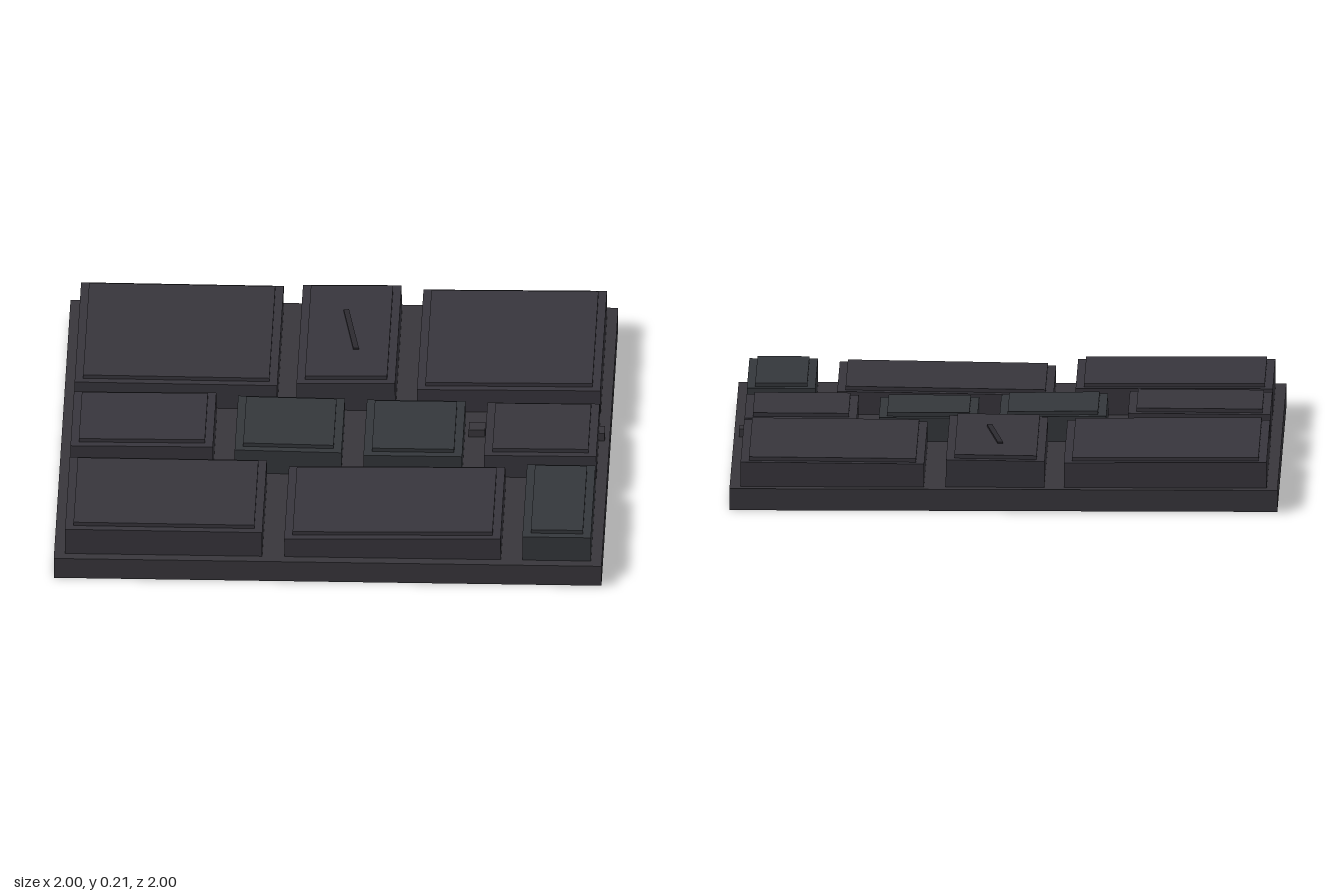
import * as THREE from 'three';

export function createModel() {
  const group = new THREE.Group();
  const mat = (name, color) => {
    const m = new THREE.MeshStandardMaterial({ color });
    m.name = name;
    return m;
  };
  const mortar = mat('mortar', 0x38363b);
  const stone = mat('stone', 0x37353c);
  const mossStone = mat('greenStone', 0x34373b);
  const dark = mat('crackDark', 0x2c2a30);

  const box = (name, w, h, d, x, y, z, material, parent = group) => {
    const m = new THREE.Mesh(new THREE.BoxGeometry(w, h, d), material);
    m.name = name;
    m.position.set(x, y, z);
    parent.add(m);
    return m;
  };

  box('baseSlab', 2, 0.08, 2, 0, 0.04, 0, mortar);

  // Paving stones: x0, x1, z0, z1, top height, tilt x, tilt z, material
  const stones = [
    [-0.96, -0.22, -0.96, -0.18, 0.19, -0.006, -0.004, stone],
    [-0.15, 0.21, -0.96, -0.18, 0.199, -0.014, 0.014, stone],
    [0.29, 0.96, -0.96, -0.18, 0.184, -0.004, 0.008, stone],
    [-0.96, -0.44, -0.1, 0.32, 0.199, 0, 0.006, stone],
    [-0.36, 0.03, -0.1, 0.32, 0.187, 0, -0.014, mossStone],
    [0.11, 0.47, -0.1, 0.32, 0.178, 0.014, 0, mossStone],
    [0.55, 0.96, -0.1, 0.32, 0.18, -0.014, 0.004, stone],
    [-0.96, -0.24, 0.4, 0.96, 0.193, 0, -0.003, stone],
    [-0.16, 0.63, 0.4, 0.96, 0.173, 0, 0.015, stone],
    [0.71, 0.96, 0.4, 0.96, 0.19, 0, 0, mossStone],
  ];
  stones.forEach(([x0, x1, z0, z1, top, rx, rz, material], i) => {
    const w = x1 - x0, d = z1 - z0, cap = 0.014, sink = 0.07;
    const s = new THREE.Group();
    s.name = `pavingStone${i + 1}`;
    s.position.set((x0 + x1) / 2, top, (z0 + z1) / 2);
    s.rotation.set(rx, 0, rz);
    group.add(s);
    // Body reaches into the slab so tilted stones leave no gap
    const h = top - cap - sink;
    box('stoneBody', w, h, d, 0, -cap - h / 2, 0, material, s);
    box('stoneCap', w - 0.06, cap, d - 0.06, 0, -cap / 2, 0, material, s);
    // Crack lying across the narrow stone
    if (i === 1) {
      const crack = box('crack', 0.02, 0.009, 0.31, 0.008, 0.002, -0.005, dark, s);
      crack.rotation.y = 0.145;
    }
  });

  // Loose pebbles in the joints
  box('pebble', 0.06, 0.03, 0.06, 0.515, 0.095, -0.015, mortar);
  box('pebble', 0.06, 0.03, 0.06, 0.952, 0.095, 0, mortar);

  return group;
}
